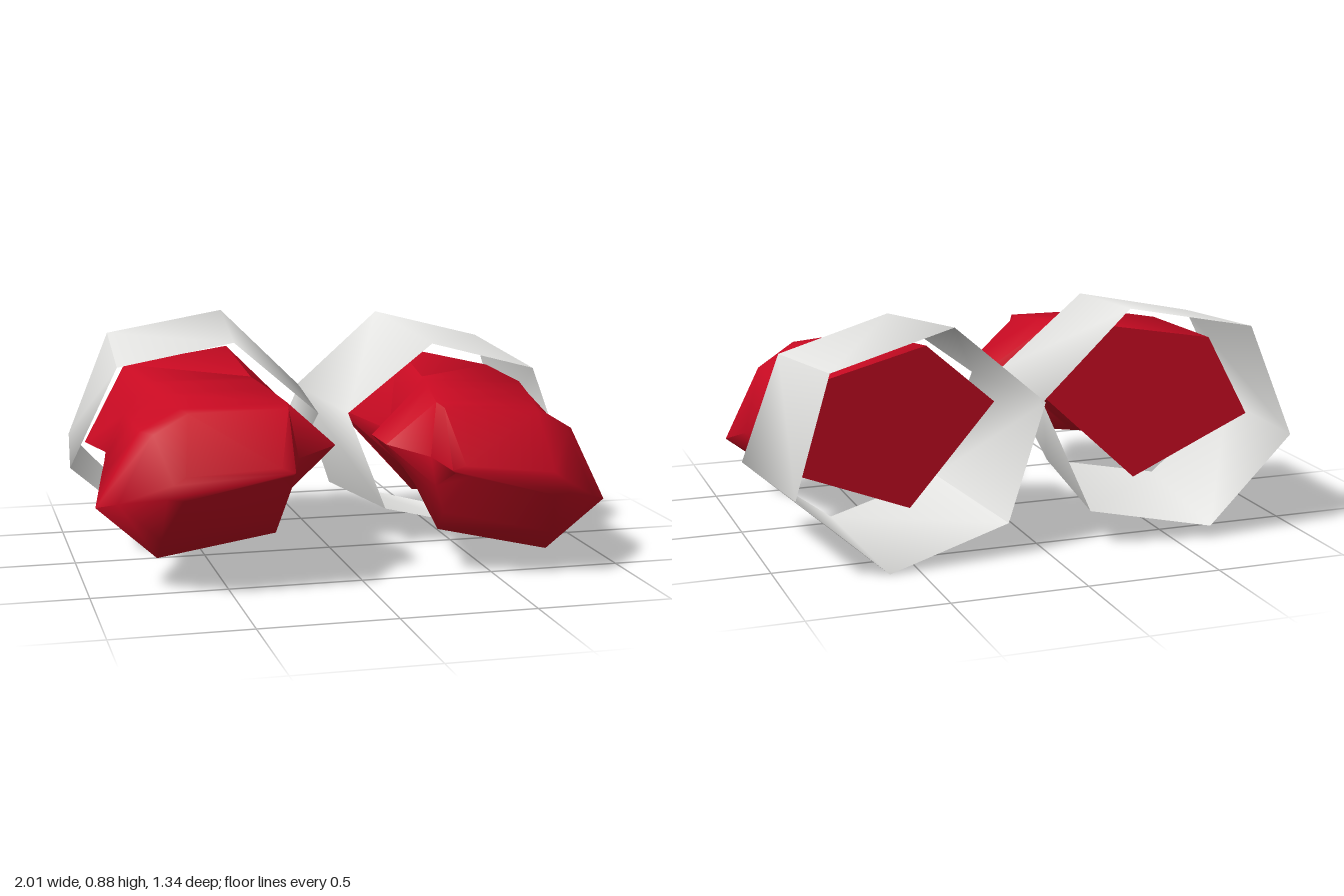
import * as THREE from 'three';
import { toCreasedNormals } from 'three/addons/utils/BufferGeometryUtils.js';

// Skin a list of rings (each a list of Vector3); closed rings also get end caps
function loft(rings, closed, flip) {
  const n = rings[0].length, pos = [], idx = [];
  rings.flat().forEach(p => pos.push(p.x, p.y, p.z));
  const tri = (a, b, c) => (flip ? idx.push(a, c, b) : idx.push(a, b, c));
  for (let i = 0; i < rings.length - 1; i++) {
    for (let j = 0; j < (closed ? n : n - 1); j++) {
      const k = (j + 1) % n;
      const a = i * n + j, b = i * n + k, c = a + n, d = b + n;
      tri(a, c, b);
      tri(b, c, d);
    }
  }
  if (closed) {
    const end = (rings.length - 1) * n;
    for (let j = 1; j < n - 1; j++) {
      tri(0, j, j + 1);
      tri(end, end + j + 1, end + j);
    }
  }
  const g = new THREE.BufferGeometry();
  g.setAttribute('position', new THREE.Float32BufferAttribute(pos, 3));
  g.setIndex(idx);
  g.computeVertexNormals();
  return g;
}

// Glove cross-sections: z, then thumb side, inner top, outer top, shoulder,
// outer, outer bottom, inner bottom, under the thumb
const SECTIONS = [
  [-0.35, [[0.10, 0.51], [0.37, 0.745], [0.77, 0.65], [0.84, 0.49], [0.91, 0.33], [0.76, 0.27], [0.44, 0.14], [0.27, 0.33]]],
  [0.08, [[0.22, 0.48], [0.35, 0.685], [0.75, 0.65], [0.82, 0.53], [0.885, 0.38], [0.82, 0.265], [0.40, 0.235], [0.27, 0.34]]],
  [0.14, [[0.22, 0.49], [0.34, 0.68], [0.74, 0.645], [0.82, 0.53], [0.895, 0.36], [0.81, 0.22], [0.38, 0.225], [0.26, 0.34]]],
  [0.26, [[0.10, 0.50], [0.32, 0.67], [0.72, 0.635], [0.82, 0.53], [0.92, 0.32], [0.79, 0.16], [0.34, 0.20], [0.25, 0.34]]],
  [0.46, [[0.10, 0.50], [0.29, 0.65], [0.68, 0.615], [0.82, 0.53], [0.96, 0.25], [0.73, 0.07], [0.30, 0.17], [0.25, 0.34]]],
  [0.53, [[0.25, 0.46], [0.30, 0.64], [0.66, 0.61], [0.78, 0.53], [0.89, 0.28], [0.73, 0.15], [0.30, 0.25], [0.27, 0.35]]],
  [0.67, [[0.29, 0.435], [0.34, 0.45], [0.68, 0.41], [0.72, 0.38], [0.74, 0.33], [0.68, 0.325], [0.36, 0.41], [0.30, 0.425]]],
];

// Cuff rims: inner, inner top, outer top, outer, outer bottom, inner bottom
const CUFF_BACK = [[0, 0.56], [0.35, 0.86], [0.81, 0.74], [0.945, 0.31], [0.61, 0.003], [0.15, 0.13]];
const CUFF_FRONT = [[0.065, 0.545], [0.41, 0.803], [0.845, 0.685], [1.0, 0.29], [0.66, 0.037], [0.225, 0.15]];

export function createModel() {
  const red = new THREE.MeshStandardMaterial({ color: 0xc80a22 });
  red.name = 'glove red';
  const grey = new THREE.MeshStandardMaterial({ color: 0xe6e6e4, side: THREE.DoubleSide });
  grey.name = 'cuff grey';
  const model = new THREE.Group();

  for (const side of ['left', 'right']) {
    const mirrored = side === 'right';
    // The right glove is mirrored and rolled a little about the meeting edge of the cuffs
    const place = (x, y, z) => {
      if (!mirrored) return new THREE.Vector3(x, y, z);
      const p = new THREE.Vector3(-x, y - 0.56, z);
      p.applyAxisAngle(new THREE.Vector3(0, 0, 1), -0.073);
      return p.add(new THREE.Vector3(0.012, 0.56, 0));
    };
    const group = new THREE.Group();
    group.name = side + 'Glove';
    const add = (name, geometry, material) => {
      const mesh = new THREE.Mesh(geometry, material);
      mesh.name = name;
      group.add(mesh);
    };

    // Fist, thumb bulge and wrist in one skin, with the wrist end slightly turned
    const rings = SECTIONS.map(([z, ring]) => ring.map(([x, y]) =>
      place(x, y, z < 0 ? z - 0.085 * (x - 0.5) : z)));
    add('fist', toCreasedNormals(loft(rings, true, mirrored), 1.2), red);

    // Open cuff in two smooth halves, creased where they meet
    const rim = (pts, cx, cy, cz) => pts.map(([x, y]) =>
      place(x, y, cz - 0.085 * (x - cx) + 0.03 * (y - cy)));
    const back = rim(CUFF_BACK, 0.48, 0.435, -0.63);
    const front = rim(CUFF_FRONT, 0.535, 0.42, -0.005);
    for (const [name, order] of [['cuffTop', [5, 0, 1, 2]], ['cuffBottom', [2, 3, 4, 5]]]) {
      add(name, loft([order.map(i => back[i]), order.map(i => front[i])], false, mirrored), grey);
    }
    model.add(group);
  }
  return model;
}
